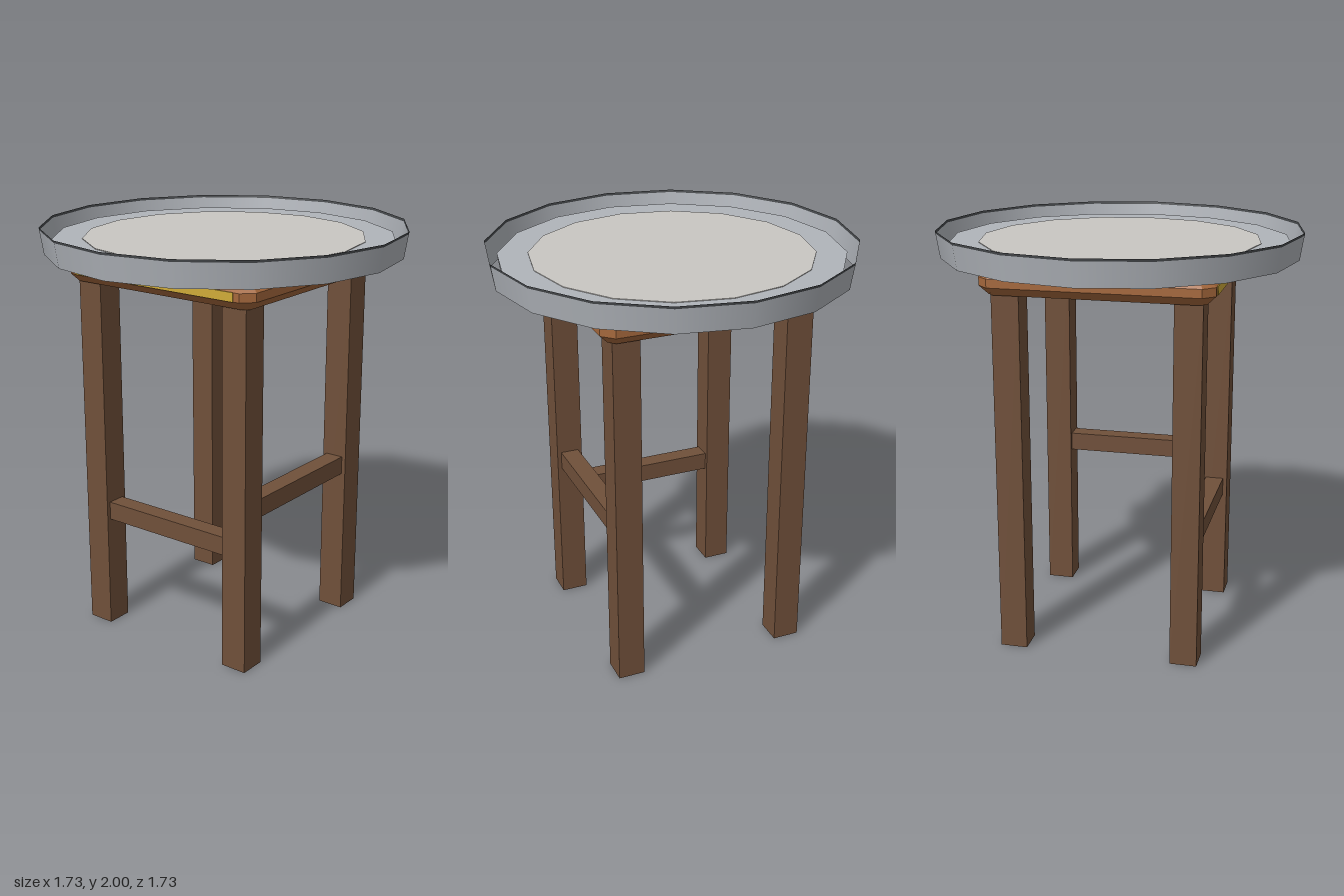
import * as THREE from 'three';

const mat = (name, color, side = THREE.FrontSide) =>
  new THREE.MeshStandardMaterial({ name, color, side });

export function createModel() {
  const model = new THREE.Group();
  model.name = 'trayTable';
  const legWood = mat('dark wood', 0x70503a, THREE.DoubleSide);
  const seatWood = mat('warm wood', 0xa5683c);
  const yellow = mat('yellow', 0xd0ab38);
  const metal = mat('grey metal', 0xb0b4ba, THREE.DoubleSide);
  const pale = mat('pale grey', 0xc9c7c3);
  const dark = mat('dark rim', 0x45484b, THREE.DoubleSide);

  const add = (name, geometry, material, x = 0, y = 0, z = 0) => {
    const mesh = new THREE.Mesh(geometry, material);
    mesh.name = name;
    mesh.position.set(x, y, z);
    model.add(mesh);
    return mesh;
  };

  // Four square legs, hollow at the ends
  const legGeo = new THREE.BoxGeometry(0.13, 1.75, 0.13);
  const index = Array.from(legGeo.index.array);
  legGeo.setIndex(index.filter((_, i) => i < 12 || i >= 24));
  legGeo.clearGroups();
  for (const x of [-0.42, 0.42])
    for (const z of [-0.42, 0.42]) add('leg', legGeo, legWood, x, 0.875, z);

  // Stretchers: a low one at the front, a higher one on the left side
  add('frontStretcher', new THREE.BoxGeometry(0.71, 0.09, 0.09), legWood, 0, 0.605, 0.42);
  add('sideStretcher', new THREE.BoxGeometry(0.09, 0.09, 0.71), legWood, 0.42, 0.785, 0);

  // Bevelled square top with clipped corners
  const h = 0.5, c = 0.47;
  const square = new THREE.Shape([
    [h, -c], [h, c], [c, h], [-c, h], [-h, c], [-h, -c], [-c, -h], [c, -h],
  ].map(([x, y]) => new THREE.Vector2(x, y)));
  const topGeo = new THREE.ExtrudeGeometry(square, {
    depth: 0.04, bevelEnabled: true, bevelSize: 0.04, bevelThickness: 0.04, bevelSegments: 1,
  });
  topGeo.rotateX(-Math.PI / 2);
  add('woodTop', topGeo, seatWood, 0, 1.79, 0);
  add('frontStripe', new THREE.BoxGeometry(0.91, 0.042, 0.008), yellow, 0, 1.81, 0.54);

  // Sixteen-sided tray: plate, pale centre and a flared wall standing clear of it
  add('trayPlate', new THREE.CylinderGeometry(0.81, 0.8, 0.07, 16), metal, 0, 1.907, 0);
  add('trayCentre', new THREE.CylinderGeometry(0.667, 0.667, 0.004, 16), pale, 0, 1.943, 0);
  add('trayWall', new THREE.CylinderGeometry(0.863, 0.845, 0.115, 16, 1, true), metal, 0, 1.9305, 0);
  add('trayRim', new THREE.CylinderGeometry(0.865, 0.863, 0.012, 16, 1, true), dark, 0, 1.994, 0);

  return model;
}
